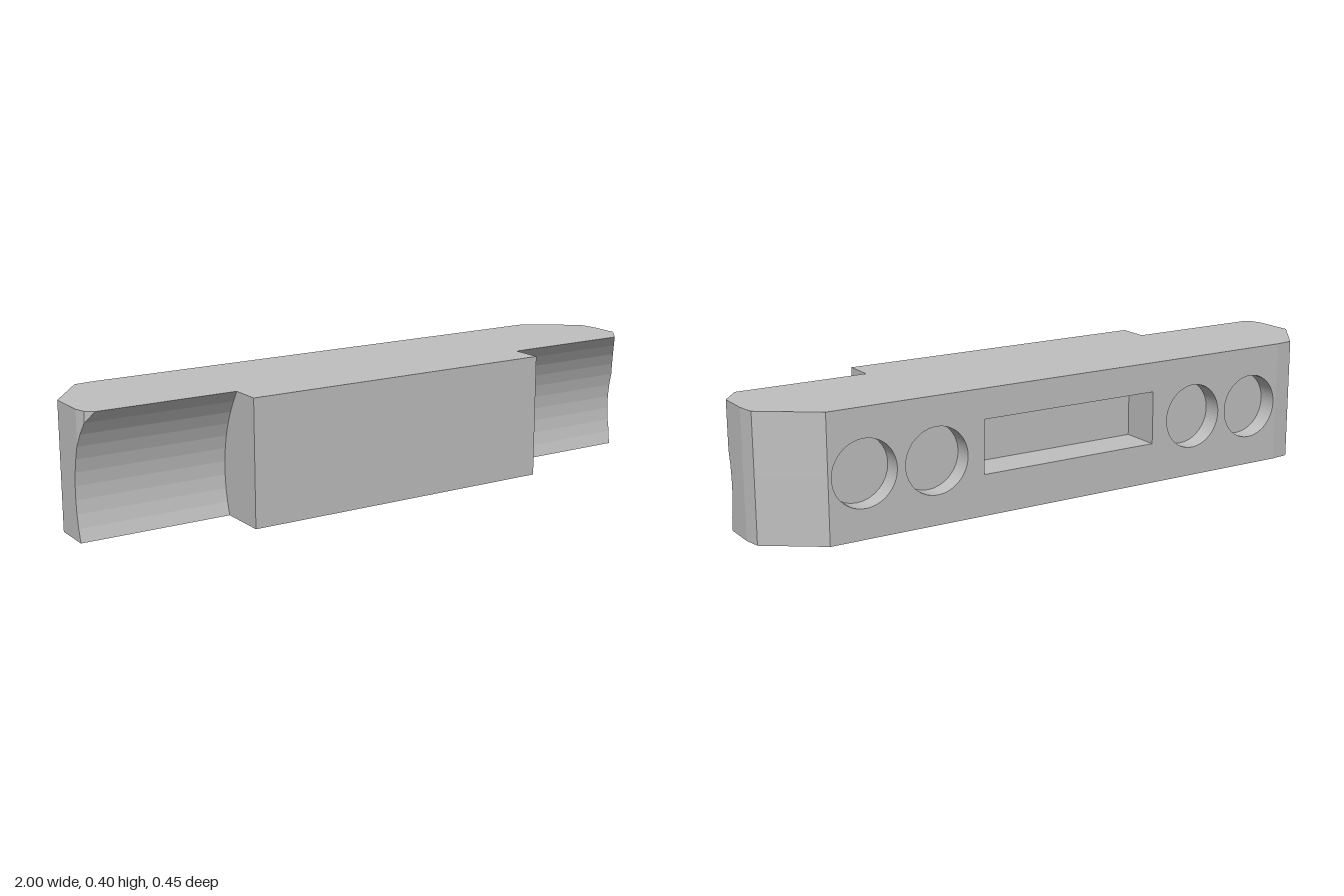
import * as THREE from 'three';

const H = 0.395, BACK = -0.225, FRONT = 0.225, PLATE = 0.13, PLATE_X = 0.82, STEP_X = 0.52;

// depth of the concave scoop at height y (circular arc)
const scoopZ = y => Math.min(0.125, 0.462 - Math.sqrt(0.421 ** 2 - (y - 0.14) ** 2));

// cut a chain of [x, z] points, running forward, at the scoop depth s
function clip(chain, s) {
  const out = [];
  chain.forEach(([x, z]) => {
    const prev = out[out.length - 1];
    if (z <= s) out.push([x, z]);
    else if (prev[1] >= s) out.push([...prev]);
    else out.push([prev[0] + (x - prev[0]) * (s - prev[1]) / (z - prev[1]), s]);
  });
  return out;
}

// plan outline at height y, with a pocket at the back for the drilled plate
function outline(y) {
  const s = scoopZ(y);
  const leftEnd = clip([[PLATE_X, BACK], [0.99, -0.105], [1, -0.05], [1, 0.055], [0.945, 0.125]], s);
  const rightEnd = clip([[-PLATE_X, BACK], [-0.88, -0.218], [-1, -0.06], [-1, 0.07], [-0.99, 0.105], [-0.965, 0.125]], s);
  return [
    ...leftEnd,
    [STEP_X, s], [STEP_X, FRONT], [-STEP_X, FRONT], [-STEP_X, s],
    ...rightEnd.reverse(),
    [-PLATE_X, BACK + PLATE], [PLATE_X, BACK + PLATE],
  ];
}

function bodyGeometry() {
  const pos = [];
  const tri = (...pts) => pts.forEach(p => pos.push(...p));
  const steps = 10, a0 = Math.asin(-0.14 / 0.421), a1 = Math.asin((H - 0.14) / 0.421);
  const loops = [];
  for (let i = 0; i <= steps; i++) {
    const y = 0.14 + 0.421 * Math.sin(a0 + (a1 - a0) * i / steps);
    loops.push(outline(y).map(([x, z]) => [x, y, z]));
  }
  // walls
  for (let i = 0; i < steps; i++) {
    const lo = loops[i], hi = loops[i + 1];
    lo.forEach((a, j) => {
      const k = (j + 1) % lo.length;
      tri(a, hi[j], lo[k]);
      tri(lo[k], hi[j], hi[k]);
    });
  }
  // bottom and top
  [[loops[0], -1], [loops[steps], 1]].forEach(([loop, dir]) => {
    const flat = loop.map(p => new THREE.Vector2(p[0], p[2]));
    THREE.ShapeUtils.triangulateShape(flat, []).forEach(([i, j, k]) => {
      const a = flat[i], b = flat[j], c = flat[k];
      const ny = (b.y - a.y) * (c.x - a.x) - (b.x - a.x) * (c.y - a.y);
      if (ny * dir > 0) tri(loop[i], loop[j], loop[k]);
      else tri(loop[i], loop[k], loop[j]);
    });
  });
  const g = new THREE.BufferGeometry();
  g.setAttribute('position', new THREE.Float32BufferAttribute(pos, 3));
  g.computeVertexNormals();
  return g;
}

function rectangle(target, x, y0, y1) {
  return target.moveTo(-x, y0).lineTo(x, y0).lineTo(x, y1).lineTo(-x, y1).closePath();
}

export function createModel() {
  const group = new THREE.Group();
  group.name = 'clampBar';
  const grey = new THREE.MeshStandardMaterial({ color: 0xc0c0c0 });
  grey.name = 'lightGrey';
  const add = (name, geometry) => {
    const mesh = new THREE.Mesh(geometry, grey);
    mesh.name = name;
    group.add(mesh);
    return mesh;
  };

  // bar with scooped wings and a raised front block
  add('body', bodyGeometry());

  // back plate with a slot and four round recesses
  const holes = [-0.705, -0.47, 0.47, 0.705], radius = 0.104, holeY = 0.198;
  const shape = rectangle(new THREE.Shape(), PLATE_X, 0, H);
  shape.holes.push(rectangle(new THREE.Path(), 0.31, 0.13, 0.3));
  holes.forEach(x => shape.holes.push(new THREE.Path().absarc(x, holeY, radius, 0, Math.PI * 2, true)));
  const plate = add('backPlate', new THREE.ExtrudeGeometry(shape, { depth: PLATE, bevelEnabled: false, curveSegments: 32 }));
  plate.position.z = BACK;

  // floors of the round recesses
  holes.forEach((x, i) => {
    const floor = add('recessFloor' + (i + 1), new THREE.CircleGeometry(radius, 32));
    floor.rotation.y = Math.PI;
    floor.position.set(x, holeY, BACK + 0.06);
  });
  return group;
}
